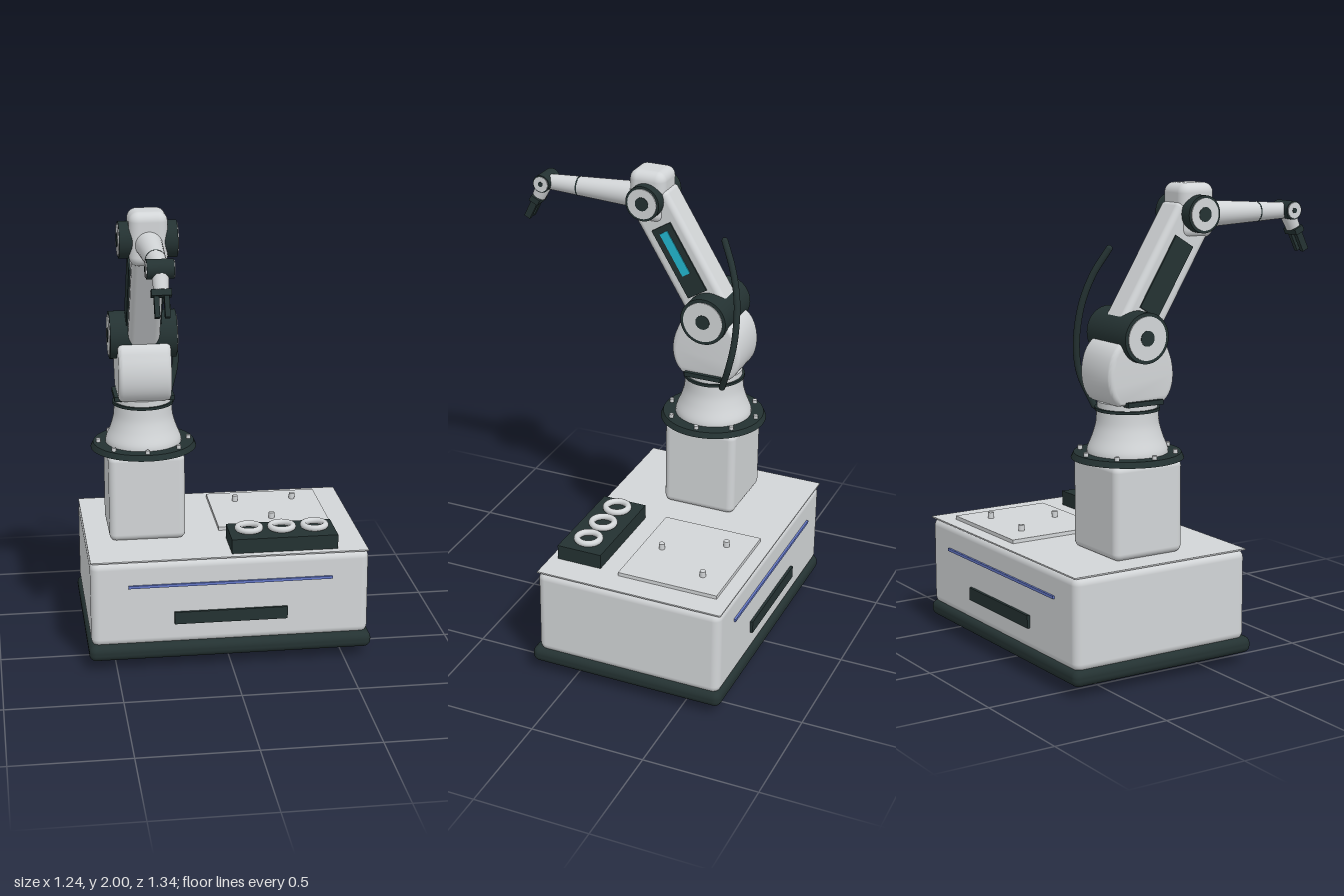
import * as THREE from 'three';
import { RoundedBoxGeometry } from 'three/addons/geometries/RoundedBoxGeometry.js';
import { toCreasedNormals } from 'three/addons/utils/BufferGeometryUtils.js';

const material = (name, color) => {
  const m = new THREE.MeshStandardMaterial({ color });
  m.name = name;
  return m;
};

export function createModel() {
  const shell = material('light grey shell', 0xd2d5d7);
  const dark = material('dark trim', 0x243232);
  const blue = material('blue light strip', 0x6478c8);
  const cyan = material('cyan display', 0x22b8d0);

  const model = new THREE.Group();
  model.name = 'mobileRobotArm';

  const add = (name, geometry, mat, x = 0, y = 0, z = 0, parent = model) => {
    const mesh = new THREE.Mesh(geometry, mat);
    mesh.name = name;
    mesh.position.set(x, y, z);
    parent.add(mesh);
    return mesh;
  };
  const group = (name, x, y, z, tilt = 0) => {
    const g = new THREE.Group();
    g.name = name;
    g.position.set(x, y, z);
    g.rotation.x = tilt;
    model.add(g);
    return g;
  };
  const box = (w, h, d) => new THREE.BoxGeometry(w, h, d);
  const rbox = (w, h, d, r) => new RoundedBoxGeometry(w, h, d, 5, r);
  const cyl = (rTop, rBottom, h, n = 40) => new THREE.CylinderGeometry(rTop, rBottom, h, n);
  const axle = (r, w) => cyl(r, r, w).rotateZ(Math.PI / 2);

  // Mobile base
  const BZ = -0.245;
  add('bumper', rbox(1.24, 0.07, 0.868, 0.03), dark, 0, 0.08, -0.241);
  add('baseBody', rbox(1.216, 0.39, 0.83, 0.035), shell, 0, 0.298, -0.25);
  add('deck', box(1.212, 0.006, 0.83), shell, 0, 0.493, -0.252);
  for (const s of [-1, 1]) {
    add('wheel', axle(0.07, 0.053), dark, s * 0.443, 0.07, BZ);
    add('lightStrip', box(0.89, 0.012, 0.012), blue, 0, 0.38, -0.25 + s * 0.418);
    add('vent', box(0.495, 0.055, 0.022), dark, 0, 0.228, -0.25 + s * 0.416);
  }

  // Work plate with locating pins
  add('workPlate', box(0.506, 0.018, 0.445), shell, 0.242, 0.503, -0.383);
  for (const [x, z] of [[0.11, -0.495], [0.376, -0.495], [0.242, -0.25]]) {
    add('locatingPin', cyl(0.013, 0.013, 0.03, 20), shell, x, 0.523, z);
  }

  // Tray with three rings
  add('tray', box(0.466, 0.066, 0.2), dark, 0.242, 0.527, 0.03);
  for (const x of [0.097, 0.242, 0.387]) {
    add('trayRing', new THREE.TorusGeometry(0.049, 0.014, 14, 40).rotateX(Math.PI / 2), shell, x, 0.575, 0.027);
  }

  // Pedestal and bolted flange
  const AX = -0.335;
  add('pedestal', rbox(0.335, 0.395, 0.33, 0.03), shell, AX, 0.692, BZ);
  add('flange', cyl(0.222, 0.233, 0.024, 56), dark, AX, 0.897, BZ);
  for (let i = 0; i < 8; i++) {
    const a = i * Math.PI / 4;
    add('flangeBolt', cyl(0.01, 0.01, 0.02, 12), shell, AX + 0.2 * Math.cos(a), 0.915, BZ + 0.2 * Math.sin(a));
  }

  // Flared turret
  const flare = new THREE.SplineCurve([
    [0.168, 0.905], [0.165, 0.93], [0.145, 0.98], [0.131, 1.03], [0.127, 1.085],
  ].map(p => new THREE.Vector2(...p))).getPoints(20);
  add('turret', new THREE.LatheGeometry(flare, 48), shell, AX, 0, BZ);
  add('turretSeal', cyl(0.134, 0.134, 0.012, 48), dark, AX, 1.09, BZ);
  add('turretCollar', cyl(0.124, 0.124, 0.026, 48), shell, AX, 1.108, BZ);
  add('shoulderFoot', box(0.262, 0.02, 0.17), dark, AX, 1.125, BZ + 0.005);

  // Shoulder housing, a side profile extruded across the arm
  const profile = new THREE.Shape();
  profile.moveTo(-0.1, 1.14);
  profile.lineTo(0.1, 1.14);
  profile.bezierCurveTo(0.14, 1.17, 0.148, 1.25, 0.115, 1.32);
  profile.quadraticCurveTo(0.1, 1.37, 0.04, 1.37);
  profile.lineTo(-0.04, 1.37);
  profile.quadraticCurveTo(-0.1, 1.37, -0.125, 1.31);
  profile.bezierCurveTo(-0.148, 1.25, -0.14, 1.17, -0.1, 1.14);
  const housing = new THREE.ExtrudeGeometry(profile, {
    depth: 0.19, bevelThickness: 0.02, bevelSize: 0.02, bevelSegments: 4, curveSegments: 12,
  });
  housing.translate(0, 0, -0.095).rotateY(-Math.PI / 2);
  add('shoulderHousing', toCreasedNormals(housing, 0.6), shell, AX, 0, BZ);

  // Motor joint: dark drum with a light cap and dark hub on each end
  const joint = (name, y, z, r, width, hub) => {
    const g = group(name, AX, y, z);
    add('drum', axle(r, width), dark, 0, 0, 0, g);
    for (const s of [-1, 1]) {
      add('cap', axle(r * 0.86, 0.008), shell, s * width / 2, 0, 0, g);
      add('hub', axle(hub, 0.008), dark, s * (width / 2 + 0.002), 0, 0, g);
    }
  };
  const shoulder = new THREE.Vector2(-0.245, 1.393);
  const elbow = new THREE.Vector2(0.05, 1.873);
  joint('shoulderJoint', shoulder.y, shoulder.x, 0.104, 0.29, 0.032);
  joint('elbowJoint', elbow.y, elbow.x, 0.077, 0.242, 0.03);
  joint('wristJoint', 1.862, 0.56, 0.039, 0.108, 0.011);

  // Upper arm with side panels, display on the left side
  const mid = shoulder.clone().add(elbow).multiplyScalar(0.5);
  const tilt = Math.atan2(elbow.x - shoulder.x, elbow.y - shoulder.y);
  const arm = group('upperArm', AX, mid.y, mid.x, tilt);
  add('armBeam', rbox(0.136, 0.575, 0.195, 0.025), shell, 0, 0, 0, arm);
  for (const s of [-1, 1]) {
    add('sidePanel', box(0.012, 0.33, 0.098), dark, s * 0.07, -0.01, 0, arm);
  }
  add('display', box(0.006, 0.205, 0.04), cyan, 0.077, 0.025, 0, arm);
  add('elbowHousing', rbox(0.16, 0.226, 0.166, 0.04), shell, AX, 1.884, 0.054);

  // Tapered forearm with a seam
  const forearm = group('forearm', AX, 1.864, 0.1, Math.PI / 2 + 0.01);
  add('forearmTube', cyl(0.034, 0.058, 0.44), shell, 0, 0.22, 0, forearm);
  add('forearmSeam', cyl(0.0425, 0.0425, 0.006), dark, 0, 0.3, 0, forearm);

  // Gripper
  const hand = group('gripper', AX, 1.862, 0.56, Math.atan2(0.44, -0.9));
  add('wristStem', cyl(0.03, 0.034, 0.06, 28), shell, 0, 0.055, 0, hand);
  add('palm', box(0.08, 0.026, 0.045), dark, 0, 0.096, 0, hand);
  for (const s of [-1, 1]) {
    add('finger', box(0.02, 0.09, 0.03), dark, s * 0.02, 0.148, 0, hand);
  }

  // Cable hose along the back
  const path = new THREE.CatmullRomCurve3([
    [-0.285, 1.74, -0.3], [-0.245, 1.63, -0.355], [-0.212, 1.5, -0.39],
    [-0.183, 1.34, -0.395], [-0.177, 1.22, -0.375], [-0.215, 1.09, -0.33],
  ].map(p => new THREE.Vector3(...p)));
  add('cableHose', new THREE.TubeGeometry(path, 48, 0.014, 12), dark);
  for (const t of [0, 1]) {
    const p = path.getPoint(t);
    add('hoseEnd', new THREE.SphereGeometry(0.014, 12, 10), dark, p.x, p.y, p.z);
  }

  return model;
}
